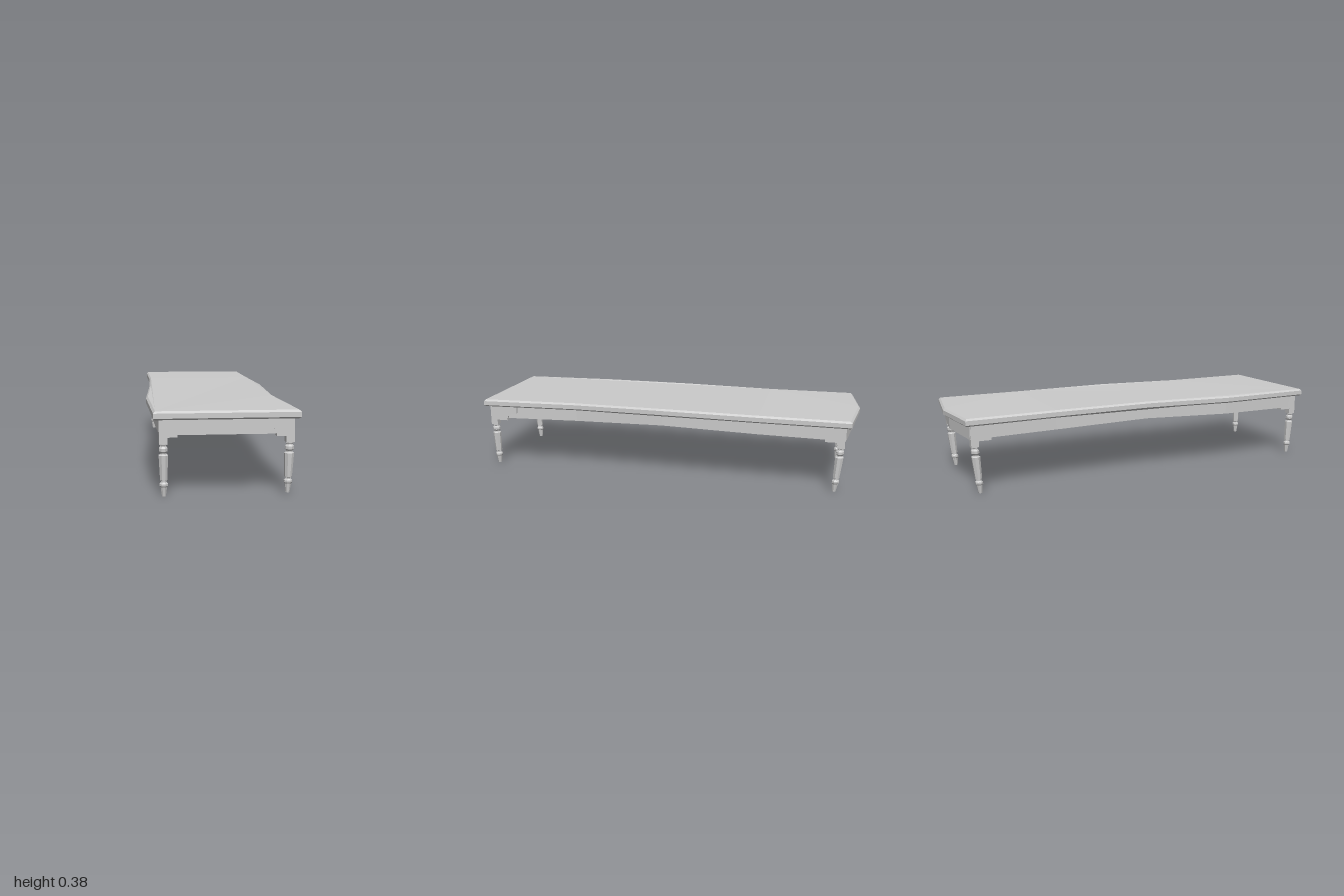
import * as THREE from 'three';

const material = new THREE.MeshStandardMaterial({ color: 0xcccccc, flatShading: true });

// Wavy table outline [x, z, lift], counter-clockwise seen from above
const OUTLINE = [
  [-0.307, 0.997, 0], [0.325, 0.997, 0], [0.302, 0.48, 0.3], [0.325, 0, 1], [0.325, -0.5, 0.3],
  [0.325, -0.96, 0], [0.005, -1, 0], [-0.307, -0.96, 0], [-0.296, -0.5, 0.3], [-0.306, 0, 1], [-0.33, 0.48, 0.3],
];

// Outline moved inwards by d with mitred corners
function inset(d) {
  const p = OUTLINE.map(([x, z]) => new THREE.Vector2(x, -z));
  const n = p.length;
  const normal = (a, b) => { const e = b.clone().sub(a).normalize(); return new THREE.Vector2(-e.y, e.x); };
  return p.map((q, i) => {
    const n1 = normal(p[(i + n - 1) % n], q), n2 = normal(q, p[(i + 1) % n]);
    return q.clone().addScaledVector(n1.clone().add(n2), d / (1 + n1.dot(n2)));
  });
}

// Skin through outline rings [inset, y, liftAmount], optionally capped
function ringGeometry(rings, capped) {
  const pos = [], index = [], n = OUTLINE.length;
  rings.forEach(([d, y, lift]) => inset(d).forEach((q, i) => pos.push(q.x, y + OUTLINE[i][2] * lift, -q.y)));
  for (let r = 0; r < rings.length - 1; r++) {
    for (let i = 0; i < n; i++) {
      const j = (i + 1) % n, a = r * n + i, b = r * n + j;
      index.push(a, b, b + n, a, b + n, a + n);
    }
  }
  if (capped) {
    const top = (rings.length - 1) * n;
    for (const [a, b, c] of THREE.ShapeUtils.triangulateShape(inset(0), [])) {
      index.push(top + a, top + b, top + c, c, b, a);
    }
  }
  const g = new THREE.BufferGeometry();
  g.setAttribute('position', new THREE.Float32BufferAttribute(pos, 3));
  g.setIndex(index);
  const flat = g.toNonIndexed();
  flat.computeVertexNormals();
  return flat;
}

function add(parent, geometry, name) {
  const mesh = new THREE.Mesh(geometry, material);
  mesh.name = name;
  parent.add(mesh);
  return mesh;
}

const POST = 0.037;

// Stepped bracket silhouette with a cove; dir is the way it runs, stretch its length
function bracketGeometry(dir, stretch, withPost) {
  const s = new THREE.Shape();
  const x = (d) => dir * (POST + (d - POST) * stretch);
  if (withPost) {
    s.moveTo(0, 0.342);
    s.lineTo(0, 0.234);
    s.lineTo(x(POST), 0.234);
  } else s.moveTo(x(POST), 0.342);
  s.lineTo(x(POST), 0.262);
  s.lineTo(x(0.079), 0.262);
  s.lineTo(x(0.079), 0.273);
  s.quadraticCurveTo(x(0.083), 0.303, x(0.118), 0.305);
  s.lineTo(x(0.118), 0.342);
  return new THREE.ExtrudeGeometry(s, { depth: POST, bevelEnabled: false, curveSegments: 4 });
}

// Turned leg: [radius, y] from foot to post
const LEG = [
  [0, 0], [0.009, 0], [0.015, 0.042], [0.019, 0.048], [0.019, 0.057], [0.013, 0.064], [0.013, 0.071],
  [0.017, 0.073], [0.022, 0.183], [0.014, 0.188], [0.014, 0.193], [0.02, 0.201], [0.02, 0.214],
  [0.014, 0.222], [0.014, 0.226], [0.019, 0.229], [0.019, 0.236],
];

// Leg leaning so its foot is shifted by (dx, dz) and raised by dy
function legGeometry(dx, dy, dz) {
  const g = new THREE.LatheGeometry(LEG.map(([r, y]) => new THREE.Vector2(r, y)), 8, Math.PI / 8);
  const p = g.attributes.position;
  for (let i = 0; i < p.count; i++) {
    const y = p.getY(i), t = 1 - y / 0.236;
    p.setXYZ(i, p.getX(i) + dx * t, y + dy * t, p.getZ(i) + dz * t);
  }
  g.computeVertexNormals();
  return g;
}

export function createModel() {
  const table = new THREE.Group();
  table.name = 'table';

  add(table, ringGeometry([
    [0.008, 0.34, 0.006], [0, 0.347, 0.006], [0, 0.369, 0.006], [0.009, 0.378, 0.006],
  ], true), 'tableTop');

  // Thin apron, arched along the sides
  add(table, ringGeometry([
    [0.041, 0.345, 0.006], [0.041, 0.272, 0.018], [0.027, 0.272, 0.018], [0.027, 0.345, 0.006],
  ], false), 'apron');

  // Outer post corner, then foot shift for each leg
  const corners = [
    ['frontLeft', 0.302, 0.972, -0.005, 0.008, -0.004],
    ['frontRight', -0.283, 0.972, 0.002, 0, -0.012],
    ['backLeft', 0.302, -0.932, 0, 0, 0.02],
    ['backRight', -0.283, -0.932, 0.002, 0, 0.02],
  ];
  for (const [name, x, z, dx, dy, dz] of corners) {
    const sx = Math.sign(x), sz = Math.sign(z);
    const corner = new THREE.Group();
    corner.name = name + 'Corner';
    table.add(corner);

    const endArm = add(corner, bracketGeometry(-sx, 1, true), 'endBracket');
    endArm.position.set(x, 0, sz > 0 ? z - POST : z);

    const sideArm = add(corner, bracketGeometry(-sz, 1.45, false).rotateY(-Math.PI / 2), 'sideBracket');
    sideArm.position.set(sx > 0 ? x : x + POST, 0, z);

    const leg = add(corner, legGeometry(dx, dy, dz), 'leg');
    leg.position.set(x - sx * POST / 2, 0, z - sz * POST / 2);
  }
  return table;
}
